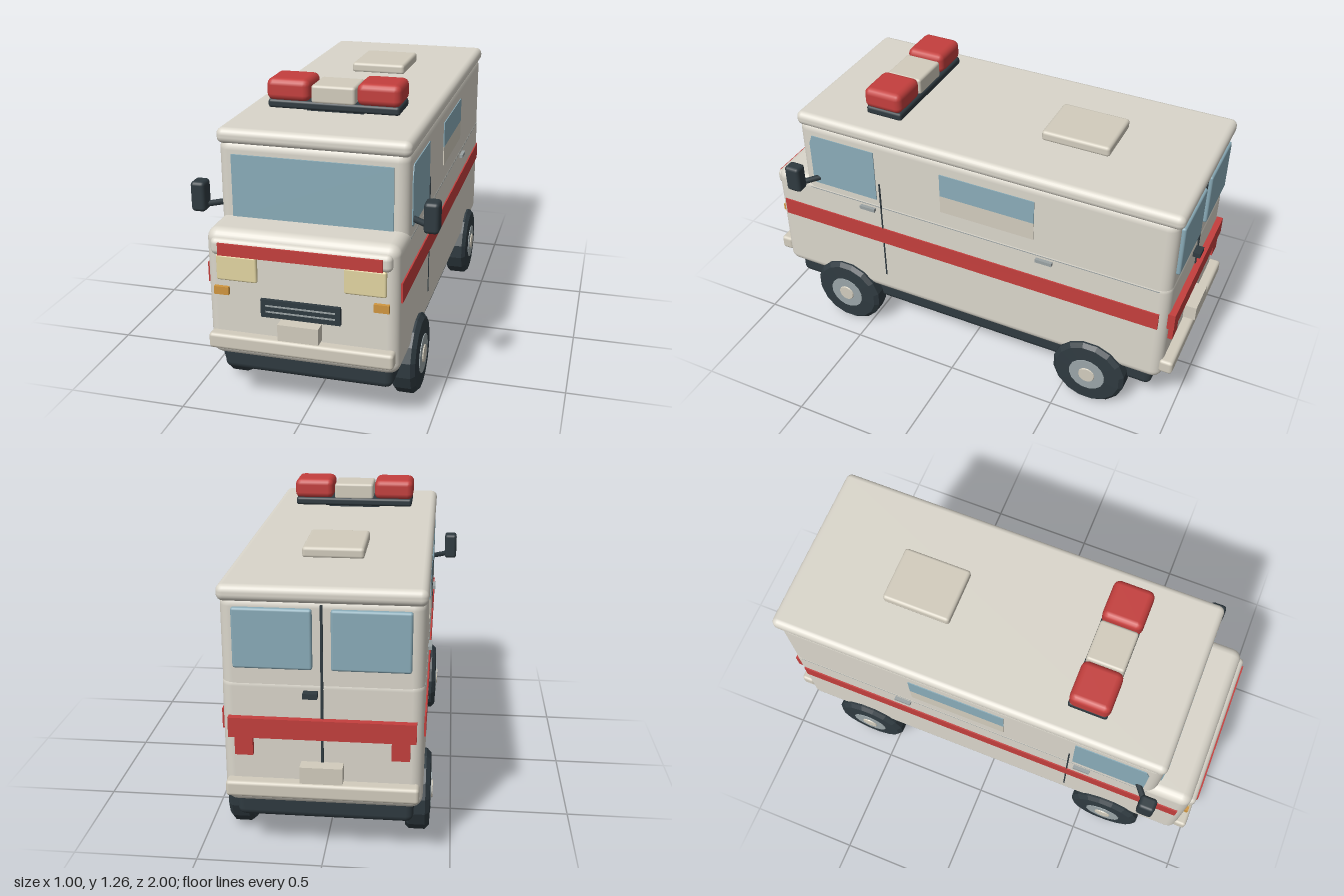
import * as THREE from 'three';
import { RoundedBoxGeometry } from 'three/addons/geometries/RoundedBoxGeometry.js';

const mat = (color, extra = {}) => new THREE.MeshStandardMaterial({ color, ...extra });
const M = {
  body: mat(0xdad6cb), trim: mat(0xd2ccbd), red: mat(0xc43f3d), glass: mat(0x8aacb9),
  dark: mat(0x2f3a40), lamp: mat(0xe2d5a2), amber: mat(0xd0963f), metal: mat(0x9aa2a3),
  tyre: mat(0x2f3a40, { flatShading: true }), rim: mat(0x9aa5a8, { flatShading: true }),
  cap: mat(0xd2ccbd, { flatShading: true }),
};

export function createModel() {
  const model = new THREE.Group();
  model.name = 'ambulanceVan';

  const add = (name, geometry, material, parent = model) => {
    const mesh = new THREE.Mesh(geometry, material);
    mesh.name = name;
    parent.add(mesh);
    return mesh;
  };
  // Box given by its limits on each axis; r > 0 rounds the edges
  const box = (name, material, [x0, x1], [y0, y1], [z0, z1], r = 0, seg = 2) => {
    const w = x1 - x0, h = y1 - y0, d = z1 - z0;
    const g = r ? new RoundedBoxGeometry(w, h, d, seg, r) : new THREE.BoxGeometry(w, h, d);
    g.translate((x0 + x1) / 2, (y0 + y1) / 2, (z0 + z1) / 2);
    return add(name, g, material);
  };
  // The same box on both sides of the van
  const pair = (name, material, [x0, x1], y, z, r, seg) => {
    box(name + 'Left', material, [x0, x1], y, z, r, seg);
    box(name + 'Right', material, [-x1, -x0], y, z, r, seg);
  };
  const mid = (half) => [-half, half];

  // Body shells
  box('chassis', M.dark, mid(0.35), [0.15, 0.27], [-0.9, 0.905], 0.03);
  box('lowerBody', M.body, mid(0.385), [0.235, 0.775], [-0.945, 0.95], 0.045, 3);
  box('upperBody', M.body, mid(0.383), [0.66, 1.09], [-0.943, 0.79], 0.045, 3);
  box('roof', M.body, mid(0.39), [1.065, 1.13], [-0.962, 0.793], 0.028, 3);
  pair('waistSeam', M.metal, [0.37, 0.3845], [0.733, 0.737], [-0.9, 0.76]);

  // Front face
  box('windscreen', M.glass, mid(0.325), [0.77, 1.03], [0.77, 0.797]);
  box('hoodLip', M.body, mid(0.36), [0.675, 0.745], [0.91, 0.968], 0.022);
  box('frontRedBand', M.red, mid(0.325), [0.68, 0.73], [0.94, 0.973]);
  pair('headlight', M.lamp, [0.173, 0.338], [0.572, 0.678], [0.93, 0.963], 0.008);
  pair('indicator', M.amber, [0.29, 0.35], [0.511, 0.544], [0.93, 0.965]);
  box('grille', M.dark, mid(0.16), [0.436, 0.51], [0.93, 0.965]);
  for (const y of [0.461, 0.486]) box('grilleBar', M.metal, mid(0.14), [y - 0.003, y + 0.003], [0.95, 0.968]);

  // Bumpers and plates at both ends
  box('frontBumper', M.trim, mid(0.373), [0.285, 0.35], [0.935, 0.992], 0.014);
  box('rearBumper', M.trim, mid(0.373), [0.285, 0.35], [-0.992, -0.93], 0.014);
  box('frontPlate', M.trim, mid(0.082), [0.36, 0.428], [0.945, 1]);
  box('rearPlate', M.trim, mid(0.082), [0.36, 0.428], [-1, -0.94]);

  // Side details
  pair('sideStripe', M.red, [0.37, 0.391], [0.538, 0.62], [-0.91, 0.915]);
  pair('doorSeam', M.dark, [0.37, 0.388], [0.345, 0.865], [0.388, 0.394]);
  pair('sideWindow', M.glass, [0.37, 0.387], [0.9, 1.01], [-0.345, 0.09]);
  pair('sideWindowPanel', M.trim, [0.37, 0.387], [0.815, 0.9], [-0.345, 0.09]);
  for (const z of [0.42, -0.435]) pair('doorHandle', M.metal, [0.38, 0.4], [0.708, 0.724], [z, z + 0.075]);

  // Cab side windows with clipped corners
  const cab = new THREE.Shape([
    [-0.41, 0.775], [-0.725, 0.775], [-0.735, 0.785], [-0.735, 0.985], [-0.72, 1.025], [-0.41, 1.025],
  ].map(([a, b]) => new THREE.Vector2(a, b)));
  for (const s of [1, -1]) {
    const g = new THREE.ExtrudeGeometry(cab, { depth: 0.02, bevelEnabled: false });
    g.rotateY(Math.PI / 2);
    g.translate(s > 0 ? 0.367 : -0.387, 0, 0);
    add(s > 0 ? 'cabWindowLeft' : 'cabWindowRight', g, M.glass);
  }

  // Rear doors
  pair('rearWindow', M.glass, [0.035, 0.335], [0.808, 1.045], [-0.96, -0.93], 0.01);
  box('rearDoorSeam', M.dark, mid(0.005), [0.36, 1.06], [-0.95, -0.93]);
  box('rearDoorHandle', M.dark, [0.015, 0.07], [0.7, 0.722], [-0.978, -0.94]);
  box('rearRedBand', M.red, mid(0.358), [0.53, 0.61], [-0.972, -0.935]);
  pair('tailLamp', M.red, [0.265, 0.335], [0.455, 0.535], [-0.966, -0.935]);

  // Roof vent and light bar
  box('roofVent', M.trim, [-0.125, 0.125], [1.125, 1.172], [-0.56, -0.258], 0.014);
  box('lightBarFoot', M.dark, mid(0.12), [1.125, 1.15], [0.36, 0.46]);
  box('lightBarBase', M.dark, mid(0.276), [1.141, 1.178], [0.325, 0.495], 0.012);
  pair('beacon', M.red, [0.098, 0.281], [1.172, 1.265], [0.325, 0.502], 0.028);
  box('centreLamp', M.trim, mid(0.092), [1.17, 1.246], [0.33, 0.495], 0.012);

  // Wing mirrors on short angled arms
  pair('mirror', M.dark, [0.44, 0.5], [0.78, 0.905], [0.735, 0.807], 0.015);
  for (const s of [1, -1]) {
    const arm = new THREE.LineCurve3(new THREE.Vector3(s * 0.37, 0.802, 0.7), new THREE.Vector3(s * 0.46, 0.802, 0.77));
    add(s > 0 ? 'mirrorArmLeft' : 'mirrorArmRight', new THREE.TubeGeometry(arm, 1, 0.013, 8), M.dark);
  }

  // Wheels: faceted tyre, rim and cap turned about the axle
  const turn = (pts) => new THREE.LatheGeometry(pts.map(([r, y]) => new THREE.Vector2(r, y)), 16).rotateY(Math.PI / 16);
  const tyre = turn([[0, -0.05], [0.155, -0.05], [0.168, -0.035], [0.168, 0.03], [0.15, 0.047], [0.085, 0.05], [0, 0.05]]);
  const rim = turn([[0.085, 0.04], [0.083, 0.053], [0, 0.053]]);
  const cap = turn([[0.042, 0.045], [0.036, 0.058], [0, 0.058]]);
  for (const s of [1, -1]) {
    for (const z of [0.61, -0.63]) {
      const wheel = new THREE.Group();
      wheel.name = (z > 0 ? 'front' : 'rear') + 'Wheel' + (s > 0 ? 'Left' : 'Right');
      add('tyre', tyre, M.tyre, wheel);
      add('rim', rim, M.rim, wheel);
      add('hubCap', cap, M.cap, wheel);
      wheel.rotation.z = -s * Math.PI / 2;
      wheel.position.set(s * 0.364, 0.166, z);
      model.add(wheel);
    }
  }
  return model;
}
